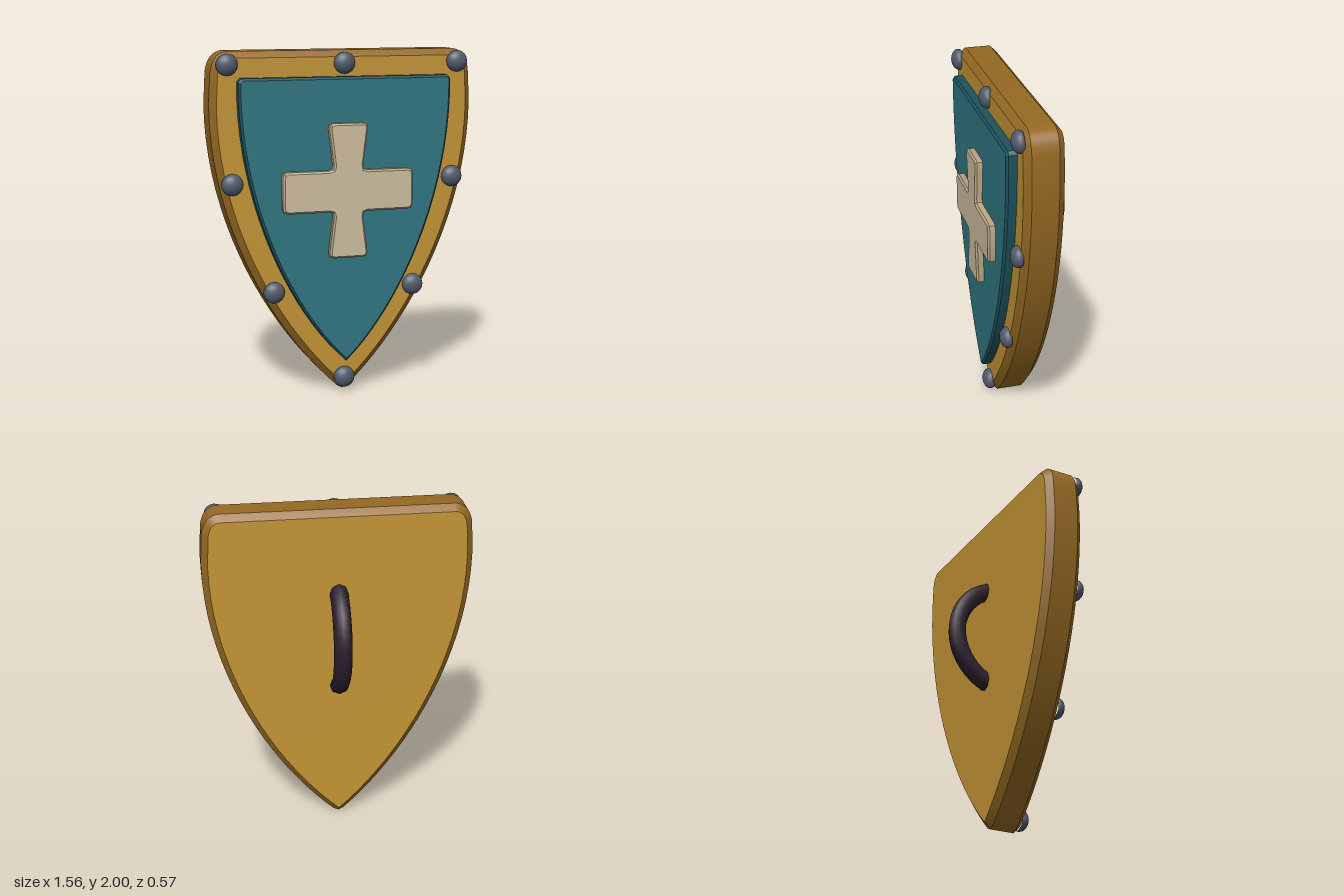
import * as THREE from 'three';
import { toCreasedNormals } from 'three/addons/utils/BufferGeometryUtils.js';

const material = (name, color) => {
  const m = new THREE.MeshStandardMaterial({ color });
  m.name = name;
  return m;
};

// Bevelled plate between two depths; the shape is its outermost outline
function plate(name, shape, back, front, bevel, faceMat, sideMat) {
  const geometry = new THREE.ExtrudeGeometry(shape, {
    depth: front - back - 2 * bevel,
    bevelThickness: bevel,
    bevelSize: bevel,
    bevelOffset: -bevel,
    bevelSegments: 1,
    curveSegments: 20,
  });
  geometry.translate(0, 0, back + bevel);
  const mesh = new THREE.Mesh(toCreasedNormals(geometry, 0.5), [faceMat, sideMat]);
  mesh.name = name;
  return mesh;
}

// Polygon with every corner softened over length r
function roundedPolygon(points, r) {
  const shape = new THREE.Shape();
  const p = points.map(([x, y]) => new THREE.Vector2(x, y));
  p.forEach((c, i) => {
    const prev = p[(i + p.length - 1) % p.length];
    const next = p[(i + 1) % p.length];
    const a = c.clone().add(prev.clone().sub(c).setLength(r));
    const b = c.clone().add(next.clone().sub(c).setLength(r));
    const m = a.clone().add(b).multiplyScalar(0.25).addScaledVector(c, 0.5);
    if (i === 0) shape.moveTo(a.x, a.y);
    else shape.lineTo(a.x, a.y);
    shape.lineTo(m.x, m.y);
    shape.lineTo(b.x, b.y);
  });
  shape.closePath();
  return shape;
}

function bodyShape() {
  const s = new THREE.Shape();
  s.moveTo(0, 0);
  s.lineTo(0.028, 0.013);
  s.bezierCurveTo(0.4, 0.35, 0.78, 1.0, 0.78, 1.7);
  s.lineTo(0.77, 1.88);
  s.quadraticCurveTo(0.755, 1.99, 0.67, 2);
  s.lineTo(-0.67, 2);
  s.quadraticCurveTo(-0.755, 1.99, -0.77, 1.88);
  s.lineTo(-0.78, 1.7);
  s.bezierCurveTo(-0.78, 1.0, -0.4, 0.35, -0.028, 0.013);
  s.lineTo(0, 0);
  return s;
}

function panelShape() {
  const s = new THREE.Shape();
  s.moveTo(0, 0.187);
  s.bezierCurveTo(0.33, 0.495, 0.64, 1.15, 0.628, 1.832);
  s.lineTo(0.61, 1.852);
  s.lineTo(-0.61, 1.852);
  s.lineTo(-0.628, 1.832);
  s.bezierCurveTo(-0.64, 1.15, -0.33, 0.495, 0, 0.187);
  return s;
}

export function createModel() {
  const shield = new THREE.Group();
  shield.name = 'shield';

  const gold = material('gold', 0xc39435);
  const bronze = material('bronze edge', 0x956922);
  const teal = material('teal', 0x307682);
  const darkTeal = material('dark teal edge', 0x1d525c);
  const cream = material('cream', 0xcdbe9e);
  const tan = material('tan edge', 0xb8a584);
  const steel = material('steel', 0x525b6d);
  const leather = material('dark leather', 0x2c1f2d);

  // Body and raised front panel
  shield.add(plate('body', bodyShape(), -0.045, 0.18, 0.037, gold, bronze));
  shield.add(plate('frontPanel', panelShape(), 0.15, 0.24, 0.013, teal, darkTeal));

  // Cross emblem with a flared upright
  const cross = roundedPolygon([
    [0.387, 1.084], [0.387, 1.322], [0.083, 1.322], [0.117, 1.592],
    [-0.117, 1.592], [-0.083, 1.322], [-0.387, 1.322], [-0.387, 1.084],
    [-0.083, 1.084], [-0.117, 0.815], [0.117, 0.815], [0.083, 1.084],
  ], 0.03);
  shield.add(plate('cross', cross, 0.22, 0.283, 0.011, cream, tan));

  // Domed rivets around the rim, their open backs sunk into the body
  const rivetGeometry = new THREE.SphereGeometry(0.063, 16, 8, 0, Math.PI * 2, 0, Math.PI * 0.62);
  rivetGeometry.rotateX(Math.PI / 2);
  const rivets = new THREE.Group();
  rivets.name = 'rivets';
  const addRivet = (x, y) => {
    const rivet = new THREE.Mesh(rivetGeometry, steel);
    rivet.name = 'rivet';
    rivet.scale.z = 0.7;
    rivet.position.set(x, y, 0.185);
    rivets.add(rivet);
  };
  addRivet(0, 1.928);
  addRivet(0, 0.08);
  for (const side of [-1, 1]) {
    for (const [x, y] of [[0.683, 1.928], [0.66, 1.253], [0.422, 0.615]]) addRivet(side * x, y);
  }
  shield.add(rivets);

  // Arched grip on the back, its ends sunk into the body
  const handle = new THREE.Mesh(new THREE.TorusGeometry(0.33, 0.054, 8, 24, Math.PI), leather);
  handle.name = 'handle';
  handle.rotation.set(0, -Math.PI / 2, Math.PI / 2);
  handle.position.set(0, 1.2, 0.1);
  shield.add(handle);

  return shield;
}
